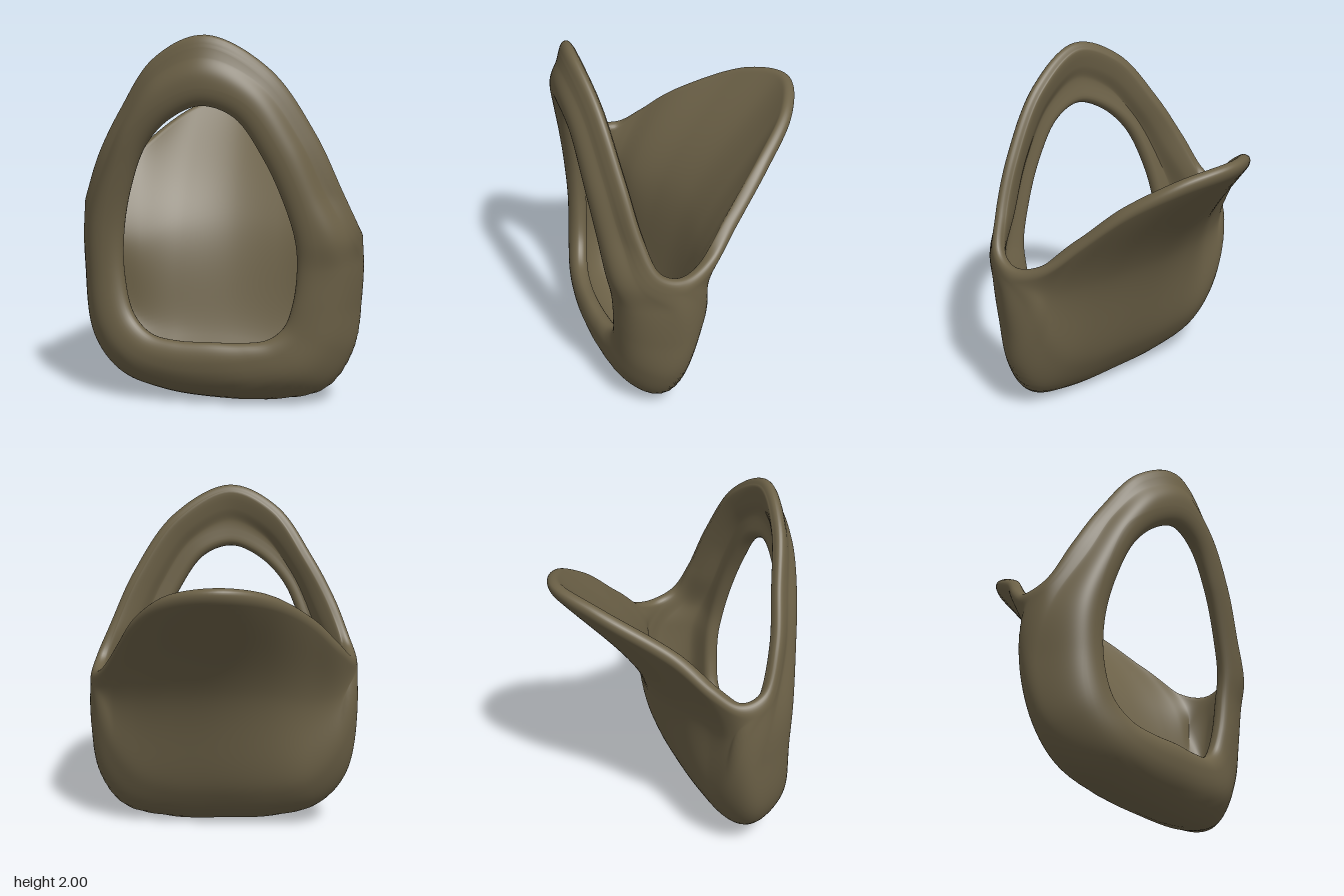
import * as THREE from 'three';

const V = (a) => new THREE.Vector3(...a);

// All loops run clockwise seen from the front, starting at the top of the strap.
// Edge of the front opening
const hole = [
  [-.07, 1.63, .605], [.1, 1.57, .615], [.25, 1.36, .615], [.36, 1.12, .6], [.42, .92, .585],
  [.43, .76, .565], [.41, .58, .55], [.36, .44, .535], [.27, .37, .535], [.13, .35, .535],
  [-.04, .35, .53], [-.22, .35, .505], [-.37, .38, .465], [-.47, .48, .42], [-.52, .68, .395],
  [-.52, .92, .4], [-.47, 1.18, .44], [-.38, 1.41, .5], [-.24, 1.56, .56],
].map(V);

// Free rim: over the strap, through both saddles and over the back
const rim = [
  [-.05, 1.995, .57], [.28, 1.82, .56], [.52, 1.48, .53], [.66, 1.18, .49], [.735, 1.0, .42],
  [.745, .95, .29], [.695, 1.0, .12], [.595, 1.19, -.09], [.485, 1.4, -.32], [.31, 1.555, -.55],
  [.05, 1.61, -.67], [-.22, 1.555, -.55], [-.49, 1.36, -.25], [-.65, 1.18, -.08], [-.725, 1.085, .05],
  [-.735, 1.12, .18], [-.66, 1.34, .29], [-.52, 1.6, .375], [-.32, 1.88, .49],
].map(V);

// Widest line round the sides and bottom (columns 4 to 15)
const side = [
  [.68, .93, .5], [.735, .78, .36], [.73, .55, .32], [.695, .31, .34], [.57, .12, .36], [.32, .055, .35],
  [0, .05, .32], [-.3, .08, .27], [-.54, .16, .22], [-.685, .34, .18], [-.735, .7, .15], [-.72, .97, .22],
].map(V);

// Lower part of the back (columns 6 to 14)
const back = [
  [.71, .75, .2], [.64, .5, .2], [.51, .33, .19], [.31, .26, .17], [.02, .26, .125],
  [-.27, .28, .085], [-.5, .34, .06], [-.67, .56, .05], [-.735, .9, .08],
].map(V);

// Six loops from the opening, round the bottom, to the rim
function makeLoops() {
  const columns = hole.map((h, i) => {
    const r = rim[i];
    const s = side[i - 4] ?? h.clone().lerp(r, .66).add(V([0, 0, .015]));
    const b = back[i - 6] ?? s.clone().lerp(r, .6);
    const shoulder = h.clone().lerp(s, .65);
    shoulder.z = h.z + .02 + (s.z - h.z) * .26;
    const hollow = b.clone().lerp(r, .5);
    hollow.z += .1 * b.distanceTo(r);
    return [h, shoulder, s, b, hollow, r];
  });
  return columns[0].map((_, k) => new THREE.CatmullRomCurve3(columns.map((c) => c[k]), true));
}

// Thick sheet lofted through the loops: its outside rolls softly into both edges, its inside stays flat
function shellGeometry(nu = 190, nMid = 54, nEnd = 8) {
  const loops = makeLoops();
  const H0 = .052, H1 = .038; // half thickness near the opening and near the rim
  const R0 = .1, R1 = .07, RIN = .04; // edge rounding widths: opening, rim, inside
  const rounded = (e) => Math.sqrt(Math.max(0, 1 - (1 - Math.min(1, e)) ** 2));
  const grid = [], outer = [], inner = [];

  for (let i = 0; i < nu; i++) {
    const column = new THREE.CatmullRomCurve3(loops.map((l) => l.getPoint(i / nu)));
    const len = column.getLength();
    const dist = [];
    for (let k = 0; k < nEnd; k++) dist.push(R0 * (1 - Math.cos((k / nEnd) * Math.PI / 2)));
    for (let k = 0; k <= nMid; k++) dist.push(R0 + (len - R0 - R1) * k / nMid);
    for (let k = nEnd - 1; k >= 0; k--) dist.push(len - R1 * (1 - Math.cos((k / nEnd) * Math.PI / 2)));
    const h = (d) => H0 + (H1 - H0) * d / len;
    grid.push(dist.map((d) => column.getPointAt(Math.min(1, d / len))));
    outer.push(dist.map((d) => h(d) * rounded(Math.min(d / R0, (len - d) / R1))));
    inner.push(dist.map((d) => -h(d) * rounded(Math.min(d, len - d) / RIN)));
  }

  const n = grid[0].length;
  const ring = 2 * n - 2;
  const pos = [], index = [];
  for (let i = 0; i < nu; i++) {
    for (let s = 0; s < ring; s++) {
      const j = s < n ? s : ring - s;
      const du = grid[(i + 1) % nu][j].clone().sub(grid[(i + nu - 1) % nu][j]);
      const dv = grid[i][Math.min(j + 1, n - 1)].clone().sub(grid[i][Math.max(j - 1, 0)]);
      const p = du.cross(dv).normalize().multiplyScalar((s < n ? outer : inner)[i][j]).add(grid[i][j]);
      pos.push(p.x, p.y, p.z);
      const i2 = (i + 1) % nu, s2 = (s + 1) % ring;
      const a = i * ring + s, b = i2 * ring + s, c = i2 * ring + s2, d = i * ring + s2;
      index.push(a, b, c, a, c, d);
    }
  }

  const g = new THREE.BufferGeometry();
  g.setAttribute('position', new THREE.Float32BufferAttribute(pos, 3));
  g.setIndex(index);

  // Stand on the ground, centred
  g.computeBoundingBox();
  const c = g.boundingBox.getCenter(new THREE.Vector3());
  g.translate(-c.x, -g.boundingBox.min.y, -c.z);
  g.computeVertexNormals();
  return g;
}

export function createModel() {
  const group = new THREE.Group();
  group.name = 'openFrontHolder';
  const shell = new THREE.Mesh(shellGeometry(), new THREE.MeshStandardMaterial({ color: 0x6c6147 }));
  shell.name = 'pouchShell';
  group.add(shell);
  return group;
}
